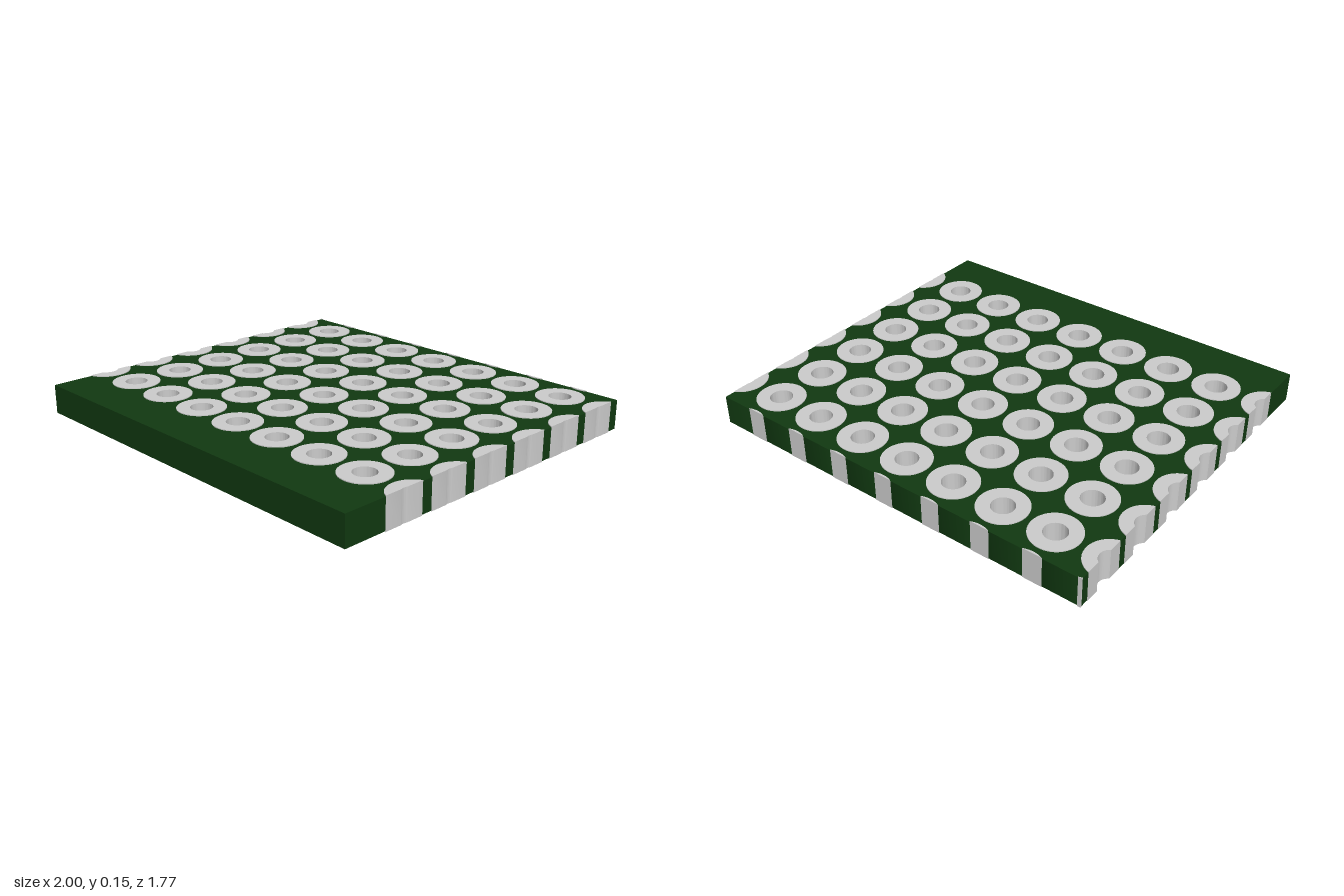
import * as THREE from 'three';
import { toCreasedNormals } from 'three/addons/utils/BufferGeometryUtils.js';

// Plan coordinates: x is right, y points to the back (-z)
const HALF_X = 1, HALF_Y = 0.885, HEIGHT = 0.15, INSET = 0.004;
const PITCH = 0.26, PAD_R = 0.115, HOLE_R = 0.053;
const LEFT_X = -1.03, RIGHT_X = 1.05, BACK_Y = 0.99;
const cols = Array.from({ length: 7 }, (_, i) => -0.77 + i * PITCH);
const rows = Array.from({ length: 6 }, (_, j) => -0.57 + j * PITCH);

// Points of an arc from angle a to angle b
function arc(x, y, r, a, b, n = 28) {
  return Array.from({ length: n + 1 }, (_, i) => {
    const t = a + (b - a) * i / n;
    return new THREE.Vector2(x + r * Math.cos(t), y + r * Math.sin(t));
  });
}

// Clockwise arc of a circle whose centre lies a distance d outside an edge;
// dir is the angle pointing into the board
function edgeArc(x, y, r, d, dir) {
  const a = Math.acos(d / r);
  return arc(x, y, r, dir + a, dir - a);
}

function circle(x, y, r) {
  return new THREE.Path().absarc(x, y, r, 0, Math.PI * 2, true);
}

// Upright slab from a plan shape
function slab(shape, y0, y1) {
  const geo = new THREE.ExtrudeGeometry(shape, { depth: y1 - y0, bevelEnabled: false, curveSegments: 48 });
  geo.rotateX(-Math.PI / 2);
  geo.translate(0, y0, 0);
  return toCreasedNormals(geo, 0.6);
}

export function createModel() {
  const group = new THREE.Group();
  const green = new THREE.MeshStandardMaterial({ color: 0x113911 });
  const grey = new THREE.MeshStandardMaterial({ color: 0xcccccc });
  const add = (name, geo, mat, x = 0, z = 0) => {
    const mesh = new THREE.Mesh(geo, mat);
    mesh.name = name;
    mesh.position.set(x, 0, z);
    group.add(mesh);
  };

  // Pads cut by the right, back and left edges, in counter-clockwise order
  const edgePads = [
    ...rows.map(y => ({ name: 'rightEdgePad', x: RIGHT_X, y, d: RIGHT_X - HALF_X, dir: Math.PI })),
    ...[...cols].reverse().map(x => ({ name: 'backEdgePad', x, y: BACK_Y, d: BACK_Y - HALF_Y, dir: -Math.PI / 2 })),
    ...[...rows].reverse().map(y => ({ name: 'leftEdgePad', x: LEFT_X, y, d: -HALF_X - LEFT_X, dir: 0 })),
  ];
  // Small remnant of a pad at the back corner
  const cornerArc = arc(LEFT_X, BACK_Y, PAD_R,
    -Math.asin((BACK_Y - HALF_Y) / PAD_R), -Math.acos((-HALF_X - LEFT_X) / PAD_R), 4);

  // Board outline with notches along its edges
  const outline = [new THREE.Vector2(-HALF_X, -HALF_Y), new THREE.Vector2(HALF_X, -HALF_Y)];
  edgePads.forEach((p, i) => {
    if (i === rows.length) outline.push(new THREE.Vector2(HALF_X, HALF_Y));
    if (i === rows.length + cols.length) outline.push(...cornerArc);
    outline.push(...edgeArc(p.x, p.y, PAD_R, p.d, p.dir));
  });
  const board = new THREE.Shape(outline);
  for (const x of cols) for (const y of rows) board.holes.push(circle(x, y, PAD_R));
  add('board', slab(board, INSET, HEIGHT - INSET), green);

  // Whole ring pads with their through holes
  const ring = new THREE.Shape().absarc(0, 0, PAD_R, 0, Math.PI * 2, false);
  ring.holes.push(circle(0, 0, HOLE_R));
  const ringGeo = slab(ring, 0, HEIGHT);
  for (const x of cols) for (const y of rows) add('ringPad', ringGeo, grey, x, -y);

  // Cut pads, with the bite of their hole where it reaches the edge
  for (const p of edgePads) {
    const pts = edgeArc(p.x, p.y, PAD_R, p.d, p.dir).reverse();
    if (p.d < HOLE_R) pts.push(...edgeArc(p.x, p.y, HOLE_R, p.d, p.dir));
    add(p.name, slab(new THREE.Shape(pts), 0, HEIGHT), grey);
  }
  const corner = new THREE.Shape([...cornerArc, new THREE.Vector2(-HALF_X, HALF_Y)]);
  add('cornerPad', slab(corner, 0, HEIGHT), grey);

  return group;
}
